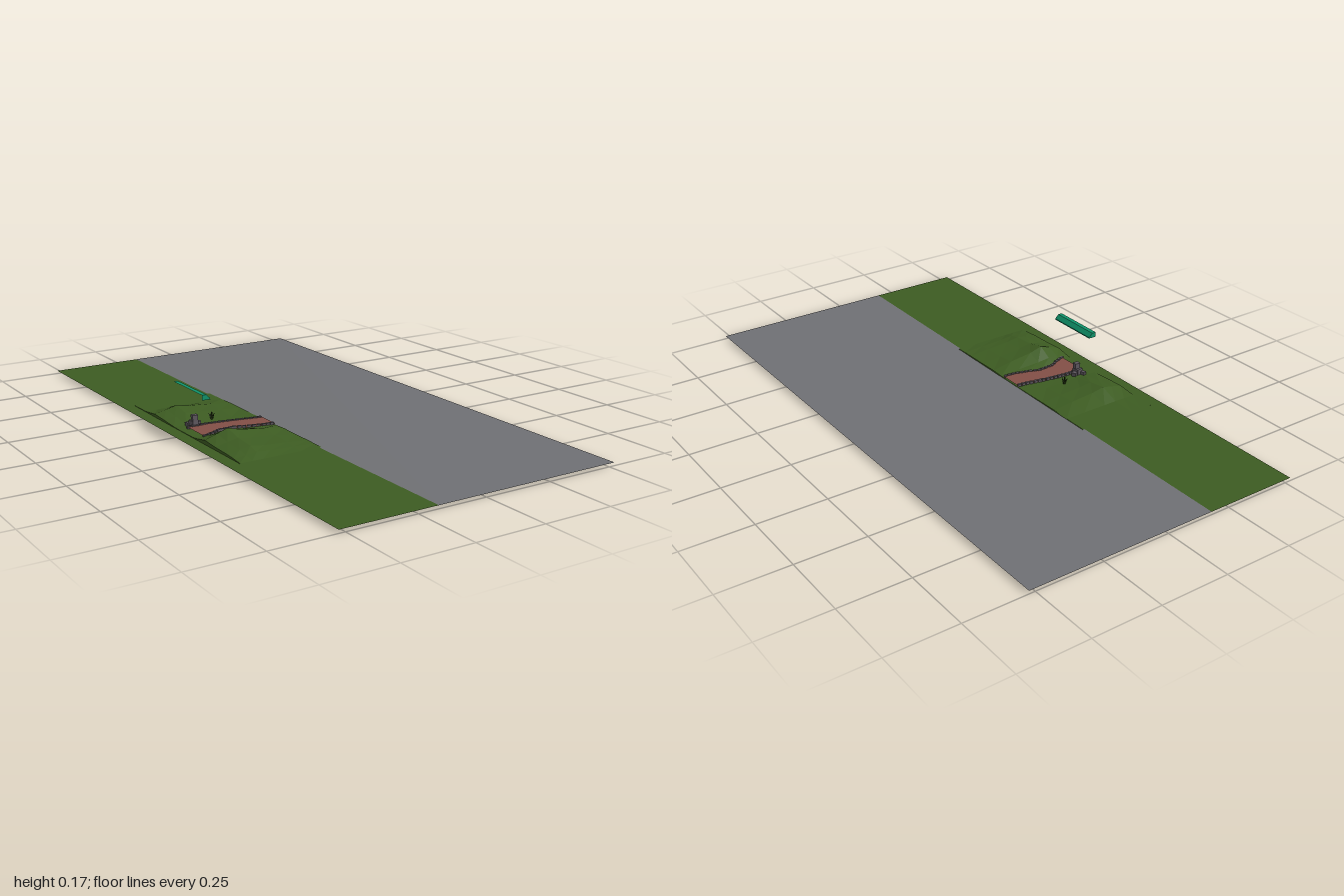
import * as THREE from 'three';

const paint = (name, color, side = THREE.FrontSide) => {
  const m = new THREE.MeshStandardMaterial({ color, side });
  m.name = name;
  return m;
};

// Surface through rows of [x, y, z] points; rows run along +z, points along +x.
function loft(rows) {
  const n = rows[0].length, index = [];
  for (let r = 0; r < rows.length - 1; r++) {
    for (let c = 0; c < n - 1; c++) {
      const a = r * n + c, b = a + 1, d = a + n, e = d + 1;
      index.push(a, d, b, b, d, e);
    }
  }
  const g = new THREE.BufferGeometry();
  g.setAttribute('position', new THREE.Float32BufferAttribute(rows.flat(2), 3));
  g.setIndex(index);
  const flat = g.toNonIndexed();
  flat.computeVertexNormals();
  return flat;
}

// Piecewise linear lookup in [position, value] pairs.
function sample(table, t) {
  for (let i = 0; i < table.length - 1; i++) {
    const [a, va] = table[i], [b, vb] = table[i + 1];
    if (t <= b) return va + (vb - va) * Math.max(0, (t - a) / (b - a));
  }
  return table[table.length - 1][1];
}

export function createModel() {
  const model = new THREE.Group();
  model.name = 'gardenPlot';
  const grass = paint('grass green', 0x3d5c22, THREE.DoubleSide);
  const asphalt = paint('asphalt grey', 0x6f7074, THREE.DoubleSide);
  const brick = paint('brick red', 0x824f46, THREE.DoubleSide);
  const stone = paint('stone grey', 0x5e585f);
  const leaf = paint('dark leaf', 0x22330f);
  const teal = paint('teal', 0x10936a);

  const add = (name, geometry, material, x = 0, y = 0, z = 0, parent = model) => {
    const mesh = new THREE.Mesh(geometry, material);
    mesh.name = name;
    mesh.position.set(x, y, z);
    parent.add(mesh);
    return mesh;
  };

  // Flat lawn and road
  const sheet = (w) => new THREE.PlaneGeometry(w, 2).rotateX(-Math.PI / 2);
  add('lawn', sheet(0.345), grass, -0.3495, 0.011, 0);
  add('road', sheet(0.699), asphalt, 0.1725, 0.011, 0);

  // Low hills either side of the path, with a short wall along the outer edge
  const across = [[-0.475, 0.32], [-0.43, 0.68], [-0.39, 1], [-0.34, 0.68], [-0.25, 0.42], [-0.17, 0.08]];
  const along = [[-0.38, 0], [-0.29, 0.002], [-0.22, 0.028], [-0.15, 0.018], [-0.07, 0.002], [-0.03, 0],
    [0.07, 0.002], [0.1, 0.014], [0.15, 0.042], [0.22, 0.027], [0.3, 0.021], [0.34, 0.012], [0.38, 0]];
  const height = (x, z) => 0.012 + sample(across, x) * sample(along, z);
  add('hills', loft(along.map(([z]) => [
    [-0.476, z > 0.18 && z < 0.37 ? 0.006 : 0.0105, z],
    ...across.map(([x]) => [x, height(x, z), z]),
    [-0.168, 0.0105, z],
  ])), grass);

  // Winding brick path
  const near = [[-0.445, 0.088], [-0.41, 0.075], [-0.37, 0.055], [-0.31, 0.052], [-0.26, 0.07], [-0.21, 0.083], [-0.17, 0.085]];
  const far = [[-0.445, -0.03], [-0.41, -0.028], [-0.37, -0.03], [-0.31, -0.022], [-0.26, -0.014], [-0.21, -0.003], [-0.17, 0.001]];
  const lane = (table, drop) => table.map(([x, z]) => [x, drop, z]);
  add('path', loft([lane(far, 0.011), lane(far, 0.018), lane(near, 0.018), lane(near, 0.011)]), brick);

  // Edging stones
  const edging = new THREE.Group();
  edging.name = 'pathEdging';
  model.add(edging);
  const cobble = new THREE.BoxGeometry(0.013, 0.012, 0.009);
  for (const table of [near, far]) {
    for (let i = 0; i < 17; i++) {
      const x = -0.44 + i * 0.0163;
      const z = sample(table, x);
      const slope = sample(table, x + 0.008) - sample(table, x - 0.008);
      const s = add('edgingStone', cobble, stone, x, 0.0155, z, edging);
      s.rotation.y = -Math.atan2(slope, 0.016) + 0.2 * Math.sin(i * 2.3);
    }
  }

  // Small pile of stone blocks beside the path
  const pile = new THREE.Group();
  pile.name = 'stonePile';
  model.add(pile);
  for (const [x, y, z, w, h, d, turn] of [
    [-0.415, 0.022, -0.042, 0.024, 0.026, 0.026, 0.15],
    [-0.414, 0.045, -0.037, 0.02, 0.021, 0.018, -0.1],
    [-0.395, 0.019, -0.05, 0.018, 0.016, 0.016, 0.5],
    [-0.428, 0.018, -0.06, 0.014, 0.014, 0.016, 0.3],
  ]) add('block', new THREE.BoxGeometry(w, h, d), stone, x, y, z, pile).rotation.y = turn;

  // Little shrub
  const shrub = new THREE.Group();
  shrub.name = 'shrub';
  shrub.position.set(-0.324, 0, -0.08);
  model.add(shrub);
  add('stem', new THREE.CylinderGeometry(0.002, 0.005, 0.04, 6), leaf, 0, 0.02, 0, shrub);
  for (let i = 0; i < 5; i++) {
    const a = i * Math.PI * 0.4;
    const frond = add('frond', new THREE.ConeGeometry(0.005, 0.026, 4), leaf,
      0.006 * Math.cos(a), 0.026, 0.006 * Math.sin(a), shrub);
    frond.rotation.set(0.5 * Math.sin(a), 0, -0.5 * Math.cos(a));
  }

  // Floating canopy, open at the back
  const canopy = new THREE.Group();
  canopy.name = 'canopy';
  model.add(canopy);
  const profile = [[-0.475, 0.175], [-0.459, 0.175], [-0.445, 0.161], [-0.445, 0.157], [-0.475, 0.157]];
  const ends = [-0.065, 0.137];
  add('canopyShell', loft(ends.map((z) => profile.map(([x, y]) => [x, y, z]))), teal, 0, 0, 0, canopy);
  const cap = new THREE.ShapeGeometry(new THREE.Shape(profile.map(([x, y]) => new THREE.Vector2(x + 0.46, y - 0.166))));
  add('canopyFrontEnd', cap, teal, -0.46, 0.166, ends[1], canopy);
  const mirrored = new THREE.ShapeGeometry(new THREE.Shape(profile.map(([x, y]) => new THREE.Vector2(-x - 0.46, y - 0.166))));
  add('canopyBackEnd', mirrored, teal, -0.46, 0.166, ends[0], canopy).rotation.y = Math.PI;

  return model;
}
